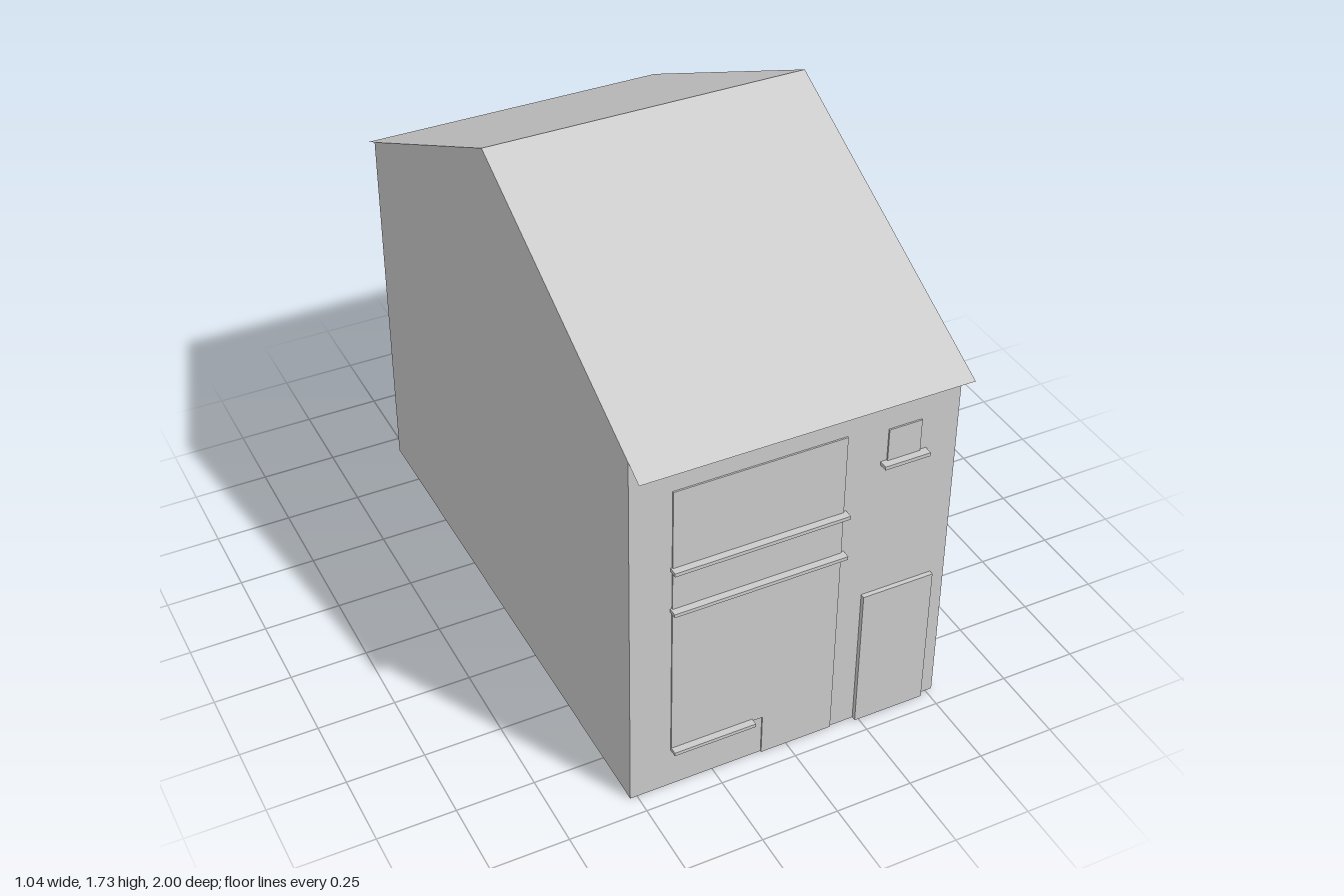
import * as THREE from 'three';

const W = 1.045;              // house width (x)
const WALL_Z = 0.935;         // half depth of the walls
const EAVE_Y = 1.26, RIDGE_Y = 1.725;
const SLOPE = (RIDGE_Y - EAVE_Y) / WALL_Z;

export function createModel() {
  const house = new THREE.Group();
  house.name = 'house';
  const solid = new THREE.MeshStandardMaterial({ color: 0xcccccc, flatShading: true });
  const sheet = new THREE.MeshStandardMaterial({ color: 0xcccccc, flatShading: true, side: THREE.DoubleSide });

  const add = (name, geometry, material = solid) => {
    const mesh = new THREE.Mesh(geometry, material);
    mesh.name = name;
    house.add(mesh);
    return mesh;
  };

  // Box fixed to the front (side = 1) or back (side = -1) wall
  const onWall = (name, side, x0, x1, y0, y1, depth) => {
    add(name, new THREE.BoxGeometry(x1 - x0, y1 - y0, depth))
      .position.set((x0 + x1) / 2, (y0 + y1) / 2, side * (WALL_Z + depth / 2));
  };
  const sill = (name, side, x0, x1, y) => onWall(name, side, x0, x1, y - 0.006, y + 0.006, 0.028);

  // Gable walls
  const gable = new THREE.Shape([
    [-WALL_Z, 0], [WALL_Z, 0], [WALL_Z, EAVE_Y], [0, RIDGE_Y], [-WALL_Z, EAVE_Y],
  ].map(([z, y]) => new THREE.Vector2(z, y)));
  for (const [name, s] of [['leftGable', 1], ['rightGable', -1]]) {
    const wall = add(name, new THREE.ShapeGeometry(gable), sheet);
    wall.rotation.y = s * Math.PI / 2;
    wall.position.x = s * W / 2;
  }

  // Front and back walls, and the thin roof sheets with overhanging eaves
  const roofLength = Math.hypot(1, SLOPE);
  for (const [name, s] of [['front', 1], ['back', -1]]) {
    const wall = add(name + 'Wall', new THREE.PlaneGeometry(W, EAVE_Y), sheet);
    wall.position.set(0, EAVE_Y / 2, s * WALL_Z);
    if (s < 0) wall.rotation.y = Math.PI;

    const roof = add(name + 'Roof', new THREE.PlaneGeometry(W, roofLength), sheet);
    roof.rotation.order = 'YXZ';
    roof.rotation.y = s < 0 ? Math.PI : 0;
    roof.rotation.x = -Math.atan2(1, SLOPE);
    roof.position.set(0, RIDGE_Y - SLOPE / 2, s * 0.5);
  }

  // Front: tall glazing with a door-width leg down to the ground
  const glazing = new THREE.Shape([
    [-0.085, 0], [0.155, 0], [0.155, 1.115], [-0.39, 1.115], [-0.39, 0.145], [-0.085, 0.145],
  ].map(([x, y]) => new THREE.Vector2(x, y)));
  add('frontGlazing', new THREE.ExtrudeGeometry(glazing, { depth: 0.005, bevelEnabled: false }))
    .position.z = WALL_Z;
  sill('upperGlazingRail', 1, -0.395, 0.165, 0.84);
  sill('lowerGlazingRail', 1, -0.395, 0.165, 0.69);
  sill('glazingSill', 1, -0.39, -0.12, 0.147);
  onWall('frontDoor', 1, 0.237, 0.475, 0, 0.5, 0.015);
  onWall('smallWindow', 1, 0.29, 0.398, 0.98, 1.095, 0.005);
  sill('smallWindowSill', 1, 0.27, 0.42, 0.98);

  // Back: three windows with sills and a door
  for (const [name, x0, x1, y0, y1] of [
    ['backUpperLeftWindow', 0.08, 0.375, 0.82, 1.1],
    ['backUpperRightWindow', -0.385, -0.095, 0.82, 1.1],
    ['backLowerWindow', -0.005, 0.42, 0.18, 0.475],
  ]) {
    onWall(name, -1, x0, x1, y0, y1, 0.005);
    sill(name + 'Sill', -1, x0 - 0.01, x1 + 0.008, y0);
  }
  onWall('backDoor', -1, -0.352, -0.095, 0, 0.475, 0.015);

  return house;
}
